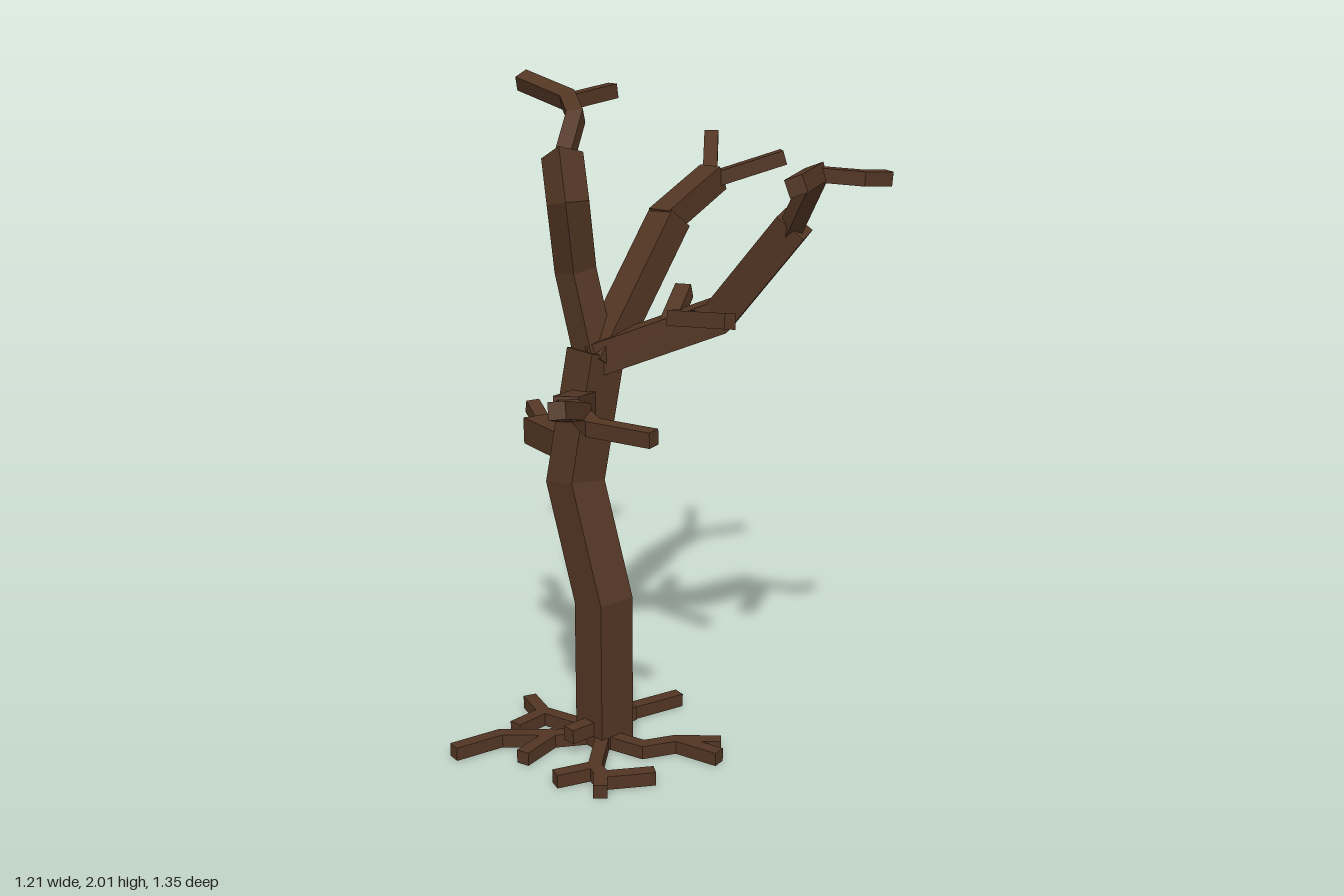
import * as THREE from 'three';

const bark = new THREE.MeshStandardMaterial({ color: 0x523523 });
bark.name = 'bark';

// Four-sided limb of constant width along a path, mitred at each bend
function limbGeometry(path, width) {
  const pts = path.map(p => new THREE.Vector3(...p));
  const dirs = pts.slice(1).map((p, i) => p.clone().sub(pts[i]).normalize());
  const d0 = dirs[0];
  const ref = Math.abs(d0.y) > 0.9 ? new THREE.Vector3(0, 0, 1) : new THREE.Vector3(0, 1, 0);
  const s = d0.clone().cross(ref).normalize();
  const u = s.clone().cross(d0);
  const h = width / 2;
  const rings = [[[-1, -1], [1, -1], [1, 1], [-1, 1]].map(([a, b]) =>
    pts[0].clone().addScaledVector(s, a * h).addScaledVector(u, b * h))];
  for (let i = 1; i < pts.length; i++) {
    const d = dirs[i - 1];
    const n = d.clone().add(dirs[i] ?? d).normalize();
    rings.push(rings[i - 1].map(c => {
      const t = pts[i].clone().sub(c).dot(n) / d.dot(n);
      return c.clone().addScaledVector(d, t);
    }));
  }
  const out = [];
  const quad = (a, b, c, d) => [a, b, c, a, c, d].forEach(v => out.push(v.x, v.y, v.z));
  quad(...rings[0]);
  for (let i = 1; i < rings.length; i++) {
    for (let j = 0; j < 4; j++) {
      const k = (j + 1) % 4;
      quad(rings[i - 1][j], rings[i][j], rings[i][k], rings[i - 1][k]);
    }
  }
  quad(...rings[rings.length - 1].slice().reverse());
  const g = new THREE.BufferGeometry();
  g.setAttribute('position', new THREE.Float32BufferAttribute(out, 3));
  g.computeVertexNormals();
  return g;
}

// A named group of limbs, each given as [width, ...points]
function limbs(name, list) {
  const group = new THREE.Group();
  group.name = name;
  list.forEach(([width, ...path], i) => {
    const mesh = new THREE.Mesh(limbGeometry(path, width), bark);
    mesh.name = `${name}Limb${i + 1}`;
    group.add(mesh);
  });
  return group;
}

export function createModel() {
  const tree = new THREE.Group();
  tree.name = 'bareTree';

  // Bent trunk
  tree.add(limbs('trunk', [
    [0.125, [-0.18, 0, -0.03], [-0.18, 0.47, -0.03], [-0.18, 0.82, -0.16], [-0.095, 1.21, -0.16]],
  ]));

  // Long branch reaching left with a forked end
  tree.add(limbs('leftBranch', [
    [0.095, [-0.1, 1.18, -0.14], [0.2, 1.59, -0.155]],
    [0.08, [0.17, 1.58, -0.155], [0.41, 1.69, -0.185]],
    [0.045, [0.39, 1.68, -0.18], [0.56, 1.79, -0.355]],
    [0.045, [0.39, 1.68, -0.18], [0.585, 1.75, -0.05]],
  ]));

  // Front branch with twigs
  tree.add(limbs('frontBranch', [
    [0.1, [-0.1, 1.19, -0.16], [0.135, 1.34, 0.14], [0.215, 1.63, 0.36]],
    [0.05, [0.2, 1.6, 0.35], [0.155, 1.79, 0.495], [-0.085, 1.795, 0.65]],
    [0.04, [0.155, 1.79, 0.495], [0.22, 1.785, 0.61], [0.3, 1.78, 0.63]],
    [0.045, [0.13, 1.32, 0.05], [-0.055, 1.36, 0.155], [-0.045, 1.385, 0.37]],
    [0.05, [0.04, 1.3, 0.02], [0.17, 1.38, -0.055]],
  ]));

  // Upright back branch
  tree.add(limbs('backBranch', [
    [0.09, [-0.1, 1.2, -0.16], [-0.105, 1.45, -0.24], [-0.15, 1.66, -0.215], [-0.11, 1.79, -0.29]],
    [0.05, [-0.115, 1.77, -0.28], [0.0, 1.89, -0.36], [0.06, 1.93, -0.47], [0.025, 1.98, -0.66]],
    [0.045, [0.05, 1.925, -0.46], [0.225, 1.95, -0.45]],
  ]));

  // Low stub at the back
  tree.add(limbs('lowBackBranch', [
    [0.085, [-0.15, 0.91, -0.16], [-0.08, 0.895, -0.485]],
    [0.045, [-0.085, 0.9, -0.46], [0.01, 0.87, -0.555], [0.04, 0.915, -0.66]],
  ]));

  // Right branch with a forked end
  tree.add(limbs('rightBranch', [
    [0.075, [-0.13, 1.06, -0.16], [-0.345, 1.11, 0.005]],
    [0.05, [-0.335, 1.11, -0.01], [-0.375, 1.13, 0.12], [-0.56, 1.195, 0.24]],
    [0.045, [-0.37, 1.12, 0.1], [-0.405, 1.11, 0.2], [-0.35, 1.11, 0.395]],
  ]));

  // Flat forked roots, as [x, z] paths
  const roots = [
    [[-0.18, -0.03], [-0.32, -0.11], [-0.44, -0.22], [-0.605, -0.24]],
    [[-0.3, -0.12], [-0.47, -0.07]],
    [[-0.18, -0.03], [-0.245, -0.26], [-0.21, -0.375]],
    [[-0.24, -0.255], [-0.37, -0.24]],
    [[-0.18, -0.03], [0.0, -0.15], [0.035, -0.235], [0.1, -0.28]],
    [[-0.02, -0.1], [0.17, -0.07]],
    [[-0.2, -0.01], [-0.16, 0.13], [-0.06, 0.17], [0.04, 0.265]],
    [[-0.06, 0.165], [-0.02, 0.32]],
    [[-0.18, -0.03], [-0.36, 0.14], [-0.38, 0.2], [-0.245, 0.28]],
    [[-0.38, 0.19], [-0.43, 0.25]],
    [[-0.35, 0.14], [-0.48, 0.1]],
  ];
  tree.add(limbs('roots', roots.map(r => [0.042, ...r.map(([x, z]) => [x, 0.021, z])])));

  // Raised root crossing the foot of the trunk
  tree.add(limbs('raisedRoot', [[0.045, [-0.325, 0.065, -0.028], [-0.07, 0.065, -0.028]]]));

  return tree;
}
